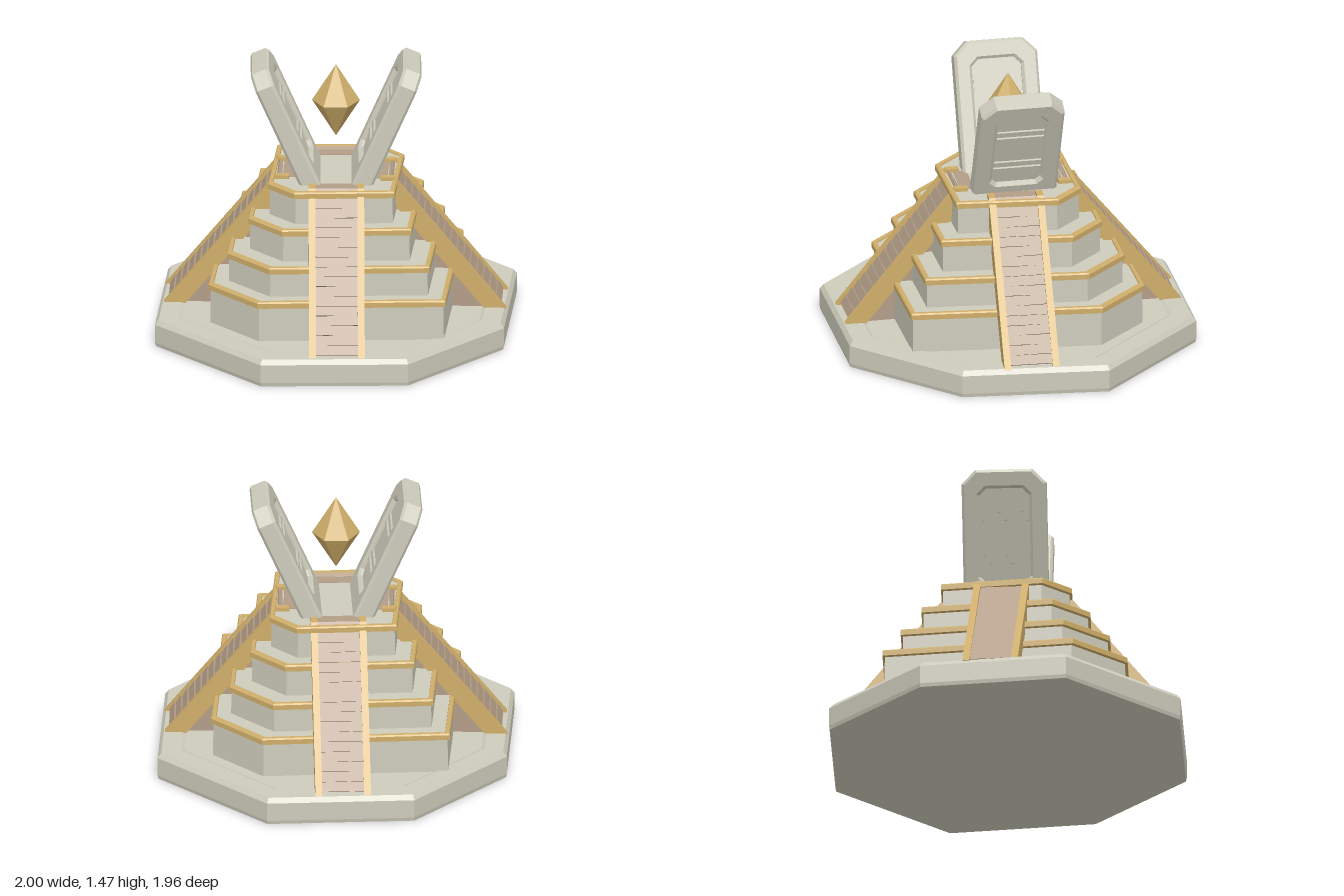
import * as THREE from 'three';

const mat = (name, color) => Object.assign(new THREE.MeshStandardMaterial({ color }), { name });

// Close a half outline by point symmetry; points run from +z towards +x
const symmetric = (half) => [...half, ...half.map(([x, z]) => [-x, -z])];
const BASE = symmetric([[-0.11, 0.98], [0.57, 0.78], [1, 0.14], [0.79, -0.62]]);
const TIER = symmetric([[0.2, 0.82], [0.765, -0.01], [0.67, -0.37]]);

// Flat-sided loft of one outline through [scale, y] levels
function loft(outline, levels, capTop, capBottom) {
  const pos = [];
  const n = outline.length;
  const at = (i, [s, y]) => [outline[i % n][0] * s, y, outline[i % n][1] * s];
  for (let i = 0; i < n; i++) {
    for (let k = 0; k + 1 < levels.length; k++) {
      const a = at(i, levels[k]), b = at(i + 1, levels[k]);
      const c = at(i + 1, levels[k + 1]), d = at(i, levels[k + 1]);
      pos.push(...a, ...b, ...c, ...a, ...c, ...d);
    }
    const top = levels[levels.length - 1], low = levels[0];
    if (capTop) pos.push(0, top[1], 0, ...at(i, top), ...at(i + 1, top));
    if (capBottom) pos.push(0, low[1], 0, ...at(i + 1, low), ...at(i, low));
  }
  const g = new THREE.BufferGeometry();
  g.setAttribute('position', new THREE.Float32BufferAttribute(pos, 3));
  g.computeVertexNormals();
  return g;
}

// Profile given in (z, y), extruded along x and centred
function sideProfile(points, width) {
  const shape = new THREE.Shape(points.map(([z, y]) => new THREE.Vector2(z, y)));
  const g = new THREE.ExtrudeGeometry(shape, { depth: width, bevelEnabled: false });
  return g.rotateY(-Math.PI / 2).translate(width / 2, 0, 0);
}

// Rectangle with cut corners: half width, bottom, top, top cut, bottom cut
const cutRect = (w, y0, y1, c, b) => [
  [-w + b, y0], [w - b, y0], [w, y0 + b], [w, y1 - c],
  [w - c, y1], [-w + c, y1], [-w, y1 - c], [-w, y0 + b],
].map(([x, y]) => new THREE.Vector2(x, y));

export function createModel() {
  const stone = mat('pale stone', 0xcdcbbb);
  const gold = mat('gold trim', 0xcfae6a);
  const wood = mat('brown steps', 0xb39d87);

  const model = new THREE.Group();
  model.name = 'steppedTemple';
  const add = (parent, name, geometry, material) => {
    const m = new THREE.Mesh(geometry, material);
    m.name = name;
    parent.add(m);
    return m;
  };

  // Octagonal plinth with a shallow sunken floor
  add(model, 'plinth', loft(BASE, [
    [0.995, 0], [1, 0.02], [1, 0.12], [0.98, 0.145], [0.87, 0.145], [0.85, 0.136],
  ], true, true), stone);

  // Four shrinking tiers, each with a gold rim
  const tiers = [[1, 0.14, 0.36], [0.855, 0.34, 0.515], [0.69, 0.5, 0.685], [0.535, 0.67, 0.855]];
  for (const [s, y0, y1] of tiers) {
    add(model, 'tier', loft(TIER, [[s - 0.015, y0], [s - 0.02, y1 - 0.008]], true), stone);
    add(model, 'tierRim', loft(TIER, [
      [s - 0.025, y1 - 0.04], [s, y1 - 0.034], [s, y1 - 0.007],
      [s - 0.01, y1], [s - 0.04, y1], [s - 0.045, y1 - 0.012],
    ]), gold);
  }

  // Four staircases with gold side rails
  const turned = new THREE.Group();
  turned.name = 'turnedParts';
  turned.rotation.y = -0.497;
  model.add(turned);
  const wedge = sideProfile([[0.855, 0.14], [0.27, 0.85], [0.2, 0.85], [0.2, 0.14]], 0.23);
  const rail = sideProfile(
    [[0.895, 0.14], [0.308, 0.866], [0.24, 0.866], [0.24, 0.8], [0.78, 0.14]], 0.036);
  const slope = Math.atan2(0.585, 0.71);
  const count = 17;
  for (const angle of [0, 87, 180, 267]) {
    const stair = new THREE.Group();
    stair.name = 'staircase';
    stair.rotation.y = THREE.MathUtils.degToRad(angle);
    turned.add(stair);
    add(stair, 'stairBody', wedge, wood);
    for (const side of [-1, 1]) add(stair, 'stairRail', rail, gold).position.x = side * 0.127;
    for (let i = 0; i < count; i++) {
      const t = (i + 0.5) / count;
      const step = add(stair, 'step', new THREE.BoxGeometry(0.23, 0.05, 0.03), wood);
      step.position.set(0, 0.15 + t * 0.7, 0.86 - t * 0.58);
      step.rotation.set(-slope + 0.14, 0, 0.02 * Math.sin(i * 2.4));
    }
  }

  // Two leaning slabs with sunken panels on both faces
  const outline = cutRect(0.207, -0.01, 0.67, 0.065, 0.005);
  const frameShape = new THREE.Shape(outline);
  frameShape.holes.push(new THREE.Path(cutRect(0.145, 0.085, 0.6, 0.045, 0.035).reverse()));
  const frame = new THREE.ExtrudeGeometry(frameShape, {
    depth: 0.076, bevelThickness: 0.014, bevelSize: 0.014, bevelSegments: 1,
  }).translate(0, 0, -0.038);
  const panel = new THREE.ExtrudeGeometry(
    new THREE.Shape(cutRect(0.17, 0.06, 0.62, 0.05, 0.04)),
    { depth: 0.056, bevelEnabled: false }).translate(0, 0, -0.028);
  for (const side of [1, -1]) {
    const holder = new THREE.Group();
    holder.name = side > 0 ? 'leftSlab' : 'rightSlab';
    holder.rotation.y = side * Math.PI / 2;
    turned.add(holder);
    const slab = new THREE.Group();
    slab.name = 'leaningSlab';
    slab.position.set(0, 0.83, 0.13);
    slab.rotation.x = 0.41;
    holder.add(slab);
    add(slab, 'slabFrame', frame, stone);
    add(slab, 'slabPanel', panel, stone);
    // Paired bars across the panels
    for (const y of [0.2, 0.245, 0.425, 0.47]) {
      add(slab, 'panelBar', new THREE.BoxGeometry(0.25, 0.018, 0.078), stone).position.y = y;
    }
  }

  // Floating six-sided crystal
  const half = new THREE.CylinderGeometry(0, 0.125, 0.2, 6, 1, true).toNonIndexed();
  half.computeVertexNormals();
  add(model, 'crystalTop', half, gold).position.y = 1.34;
  const lower = add(model, 'crystalBottom', half, gold);
  lower.position.y = 1.14;
  lower.rotation.x = Math.PI;

  return model;
}
